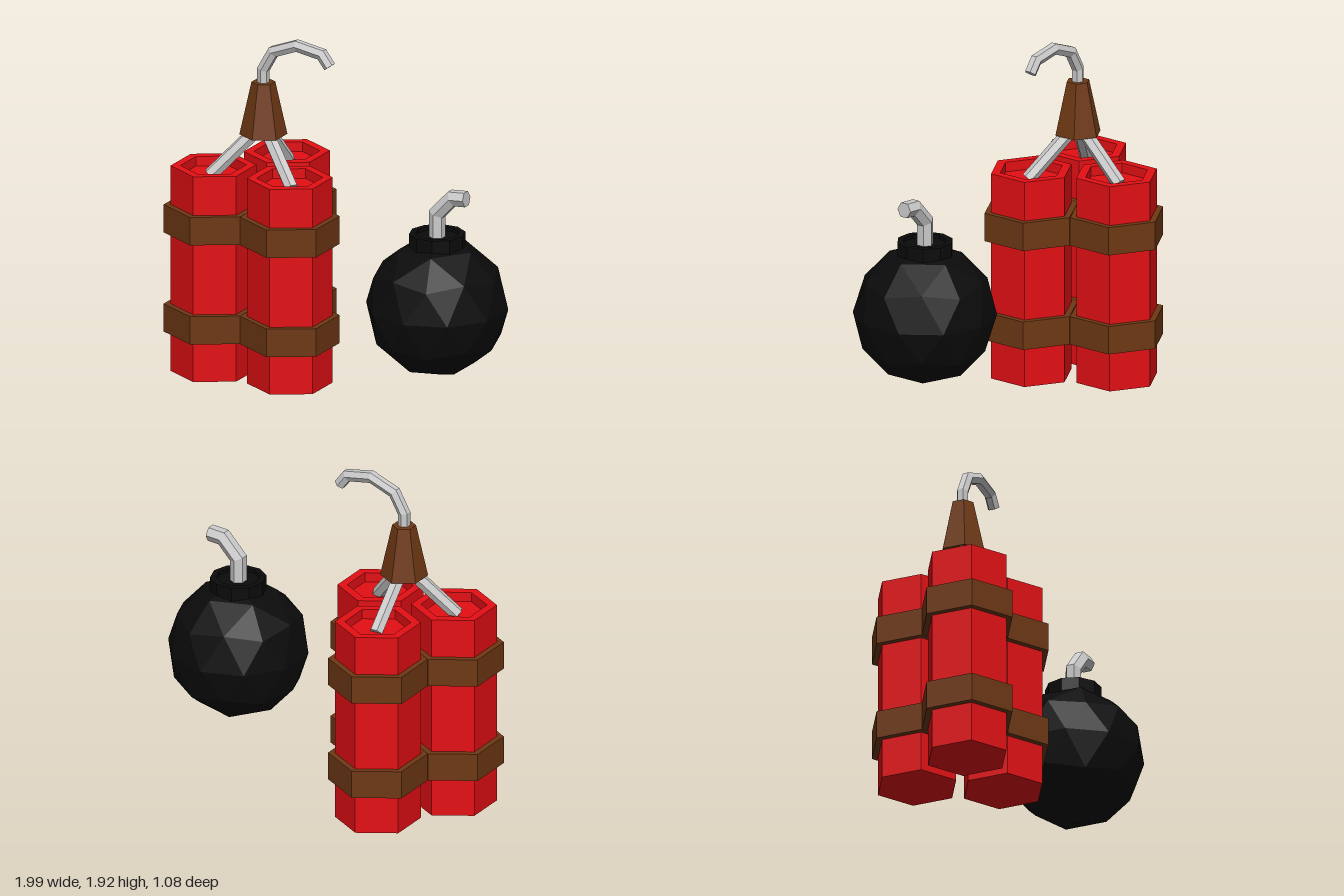
import * as THREE from 'three';

const mat = (color) => new THREE.MeshStandardMaterial({ color, flatShading: true });
const red = mat(0xe30f14), brown = mat(0x6e3814), black = mat(0x0b0b0b), grey = mat(0xcccccc);

function add(parent, name, geometry, material, x = 0, y = 0, z = 0) {
  const mesh = new THREE.Mesh(geometry, material);
  mesh.name = name;
  mesh.position.set(x, y, z);
  parent.add(mesh);
  return mesh;
}

// Low-poly lathe from [radius, y] pairs, listed bottom to top along the outside
function lathe(profile, sides, phase = 0) {
  return new THREE.LatheGeometry(profile.map(([r, y]) => new THREE.Vector2(r, y)), sides, phase);
}

// Six-sided cord swept along a path in the xy plane, with mitred bends and closed ends
function cord(path, radius) {
  const pts = path.map(([x, y]) => new THREE.Vector2(x, y));
  const last = pts.length - 1, pos = [], index = [];
  pts.forEach((p, i) => {
    const before = pts[Math.max(i, 1)].clone().sub(pts[Math.max(i, 1) - 1]).normalize();
    const j = Math.min(i, last - 1);
    const after = pts[j + 1].clone().sub(pts[j]).normalize();
    const t = before.clone().add(after).normalize();
    const mitre = radius / t.dot(before);
    for (let k = 0; k < 6; k++) {
      const a = Math.PI / 2 + (k * Math.PI) / 3;
      const c = Math.cos(a) * mitre;
      pos.push(p.x - t.y * c, p.y + t.x * c, Math.sin(a) * radius);
    }
  });
  for (let i = 0; i < last; i++) {
    for (let k = 0; k < 6; k++) {
      const a = i * 6 + k, b = i * 6 + ((k + 1) % 6);
      index.push(a, b, b + 6, a, b + 6, a + 6);
    }
  }
  for (let k = 1; k < 5; k++) {
    index.push(0, k + 1, k);
    index.push(last * 6, last * 6 + k, last * 6 + k + 1);
  }
  const g = new THREE.BufferGeometry();
  g.setAttribute('position', new THREE.Float32BufferAttribute(pos, 3));
  g.setIndex(index);
  const flat = g.toNonIndexed();
  flat.computeVertexNormals();
  return flat;
}

function createBundle() {
  const bundle = new THREE.Group();
  bundle.name = 'stickBundle';
  const spread = 0.272;

  // Hexagonal stick with a sunken top
  const stickGeo = lathe([[0, 0], [0.234, 0], [0.234, 1.175], [0.18, 1.175], [0.18, 1.12], [0, 1.12]], 6);
  const bandGeo = new THREE.CylinderGeometry(0.271, 0.271, 0.16, 6);
  const leadGeo = cord([[0.02, 1.39], [0.29, 1.12]], 0.039);

  for (const deg of [90, 210, 330]) {
    const a = THREE.MathUtils.degToRad(deg);
    const x = spread * Math.cos(a), z = -spread * Math.sin(a);
    add(bundle, 'stick', stickGeo, red, x, 0, z);
    for (const y of [0.305, 0.873]) add(bundle, 'band', bandGeo, brown, x, y, z);
    add(bundle, 'leadFuse', leadGeo, grey).rotation.y = a;
  }

  // Tapered sleeve joining the leads, and the curved main fuse
  add(bundle, 'fuseSleeve', new THREE.CylinderGeometry(0.065, 0.131, 0.3, 6), brown, 0, 1.5, 0);
  add(bundle, 'mainFuse', cord([
    [0, 1.6], [0, 1.722], [0.062, 1.832], [0.207, 1.888], [0.361, 1.861], [0.409, 1.797],
  ], 0.034), grey);
  return bundle;
}

function createBomb() {
  const bomb = new THREE.Group();
  bomb.name = 'roundBomb';

  // Faceted ball, turned so a corner points straight up
  const ball = new THREE.IcosahedronGeometry(0.393, 1);
  ball.rotateZ(-Math.atan(2 / (1 + Math.sqrt(5))));
  add(bomb, 'ball', ball, black, 0, 0.583, 0);

  // Ten-sided neck with a shallow recess
  add(bomb, 'neck', lathe(
    [[0, 0.86], [0.155, 0.86], [0.155, 1.0], [0.12, 1.0], [0.12, 0.98], [0, 0.98]], 10, Math.PI / 2), black);

  add(bomb, 'bombFuse', cord([[0, 0.95], [0, 1.112], [0.095, 1.214], [0.18, 1.22]], 0.046), grey);
  return bomb;
}

export function createModel() {
  const model = new THREE.Group();
  model.name = 'explosives';
  const bundle = createBundle();
  bundle.position.set(-0.527, 0, 0.006);
  const bomb = createBomb();
  bomb.position.set(0.62, 0, 0.145);
  model.add(bundle, bomb);
  return model;
}
